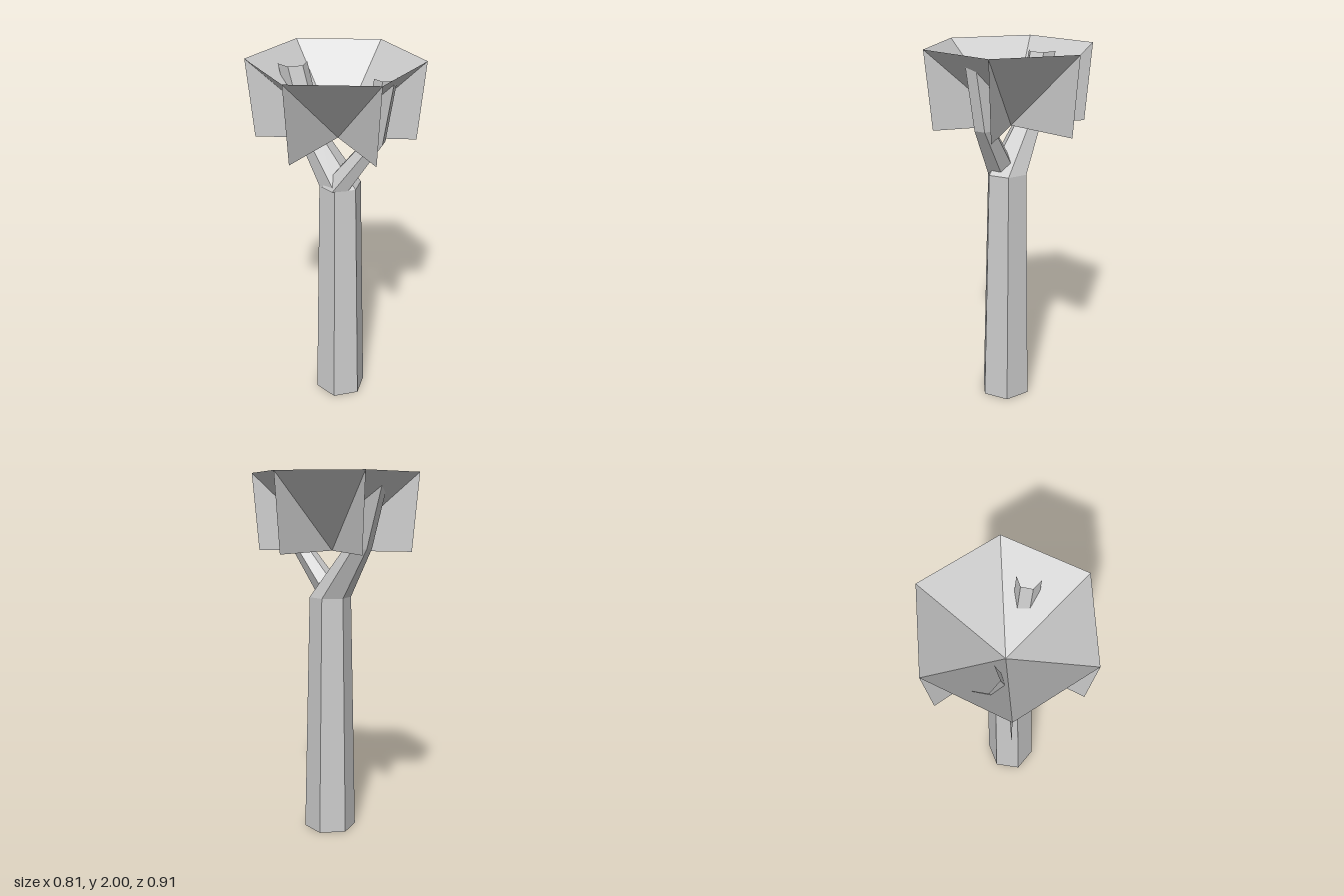
import * as THREE from 'three';

const SIDES = 6;

// One hexagonal ring: centre, radius and the angle of its first corner
function ring([x, y, z, r], turn) {
  return Array.from({ length: SIDES }, (_, i) => {
    const a = turn + (i / SIDES) * Math.PI * 2;
    return [x + r * Math.cos(a), y, z + r * Math.sin(a)];
  });
}

function meshFrom(name, triangles, side = THREE.FrontSide) {
  const geometry = new THREE.BufferGeometry();
  geometry.setAttribute('position', new THREE.Float32BufferAttribute(triangles.flat(), 3));
  geometry.computeVertexNormals();
  const material = new THREE.MeshStandardMaterial({ color: 0xcccccc, flatShading: true, side });
  const mesh = new THREE.Mesh(geometry, material);
  mesh.name = name;
  return mesh;
}

// Open-topped limb joining hexagonal rings from bottom to top
function limb(name, sections, turnDegrees, closeBottom) {
  const rings = sections.map((s) => ring(s, THREE.MathUtils.degToRad(turnDegrees)));
  const tris = [];
  for (let k = 0; k < rings.length - 1; k++) {
    for (let i = 0; i < SIDES; i++) {
      const j = (i + 1) % SIDES;
      const [a0, b0, a1, b1] = [rings[k][i], rings[k][j], rings[k + 1][i], rings[k + 1][j]];
      tris.push(b0, a0, a1, b0, a1, b1);
    }
  }
  if (closeBottom) {
    const [x, y, z] = sections[0];
    for (let i = 0; i < SIDES; i++) tris.push([x, y, z], rings[0][i], rings[0][(i + 1) % SIDES]);
  }
  return meshFrom(name, tris);
}

export function createModel() {
  const group = new THREE.Group();
  group.name = 'tree';

  // Trunk, bending into the thicker back branch
  group.add(limb('trunkAndBackBranch', [
    [0.012, 0, 0.035, 0.145],
    [0.013, 1.33, 0.023, 0.115],
    [-0.095, 1.6, -0.13, 0.076],
    [-0.15, 1.95, -0.213, 0.078],
  ], 10, true));

  // Thinner front branch growing out of the trunk top
  group.add(limb('frontBranch', [
    [-0.015, 1.33, 0.045, 0.086],
    [0.135, 1.6, 0.17, 0.06],
    [0.166, 1.95, 0.22, 0.06],
  ], 13, false));

  // Leaf canopy: an open hexagonal funnel with a hanging fin under each rib
  const centre = [0.01, 1.585, 0];
  const rim = [
    [0.405, 0.208], [0.022, 0.457], [-0.387, 0.242],
    [-0.408, -0.217], [-0.026, -0.457], [0.383, -0.25],
  ];
  const funnel = [];
  const fins = [];
  rim.forEach(([x, z], i) => {
    const [nx, nz] = rim[(i + 1) % SIDES];
    funnel.push(centre, [nx, 2, nz], [x, 2, z]);
    fins.push(centre, [x, 2, z], [x * 0.92, 1.583, z * 0.92]);
  });
  group.add(meshFrom('leafFunnel', funnel, THREE.DoubleSide));
  group.add(meshFrom('leafFins', fins, THREE.DoubleSide));

  return group;
}
